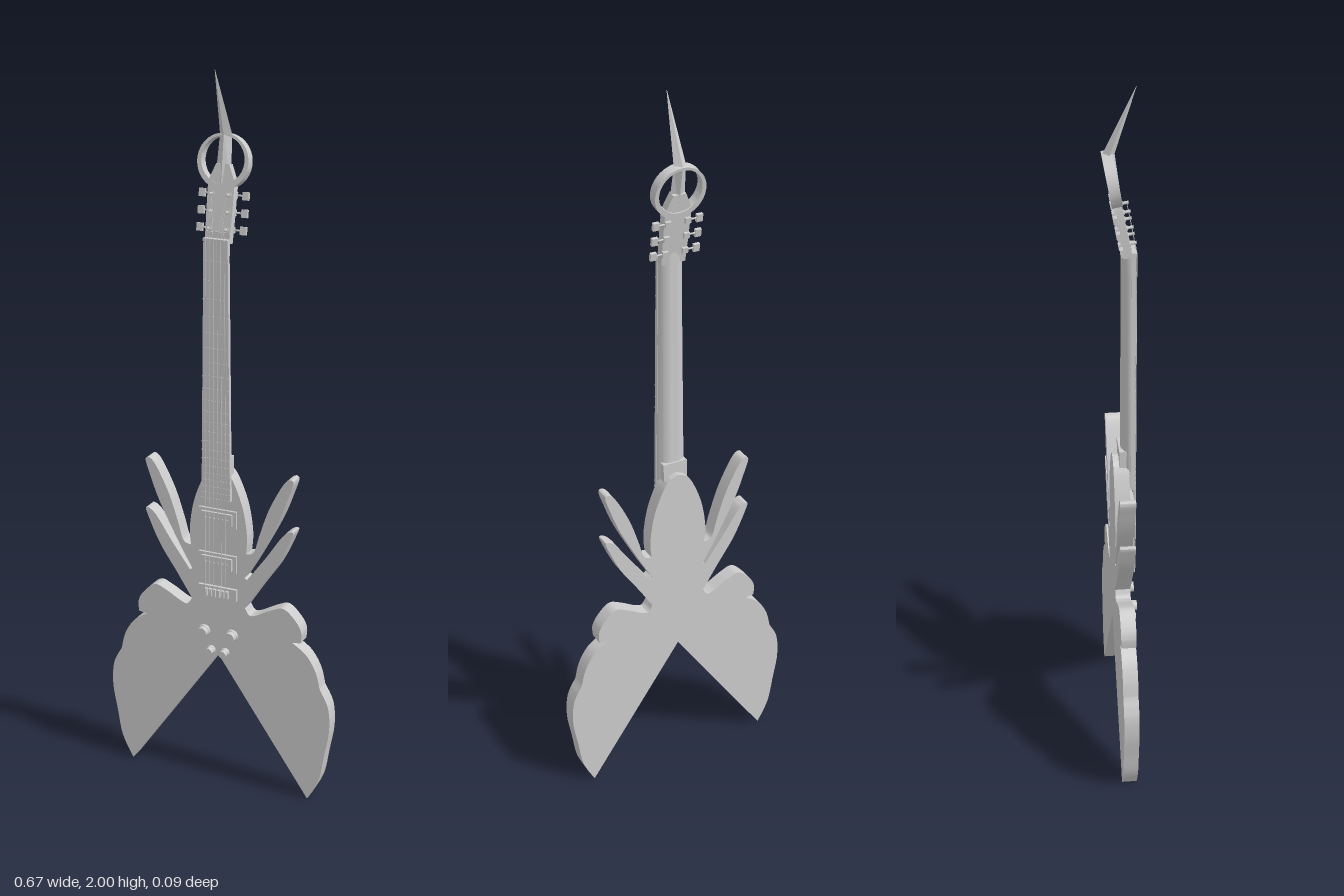
import * as THREE from 'three';
import { mergeVertices, toCreasedNormals } from 'three/addons/utils/BufferGeometryUtils.js';

const material = new THREE.MeshStandardMaterial({ color: 0xcccccc });
const V = (x, y) => new THREE.Vector2(x, y);

function add(parent, name, geometry, x = 0, y = 0, z = 0) {
  const mesh = new THREE.Mesh(geometry, material);
  mesh.name = name;
  mesh.position.set(x, y, z);
  parent.add(mesh);
  return mesh;
}

const box = (w, h, d) => new THREE.BoxGeometry(w, h, d);

// Cylinder whose axis runs front to back, first radius at the front
const peg = (r1, r2, h, n = 16) => new THREE.CylinderGeometry(r1, r2, h, n).rotateX(Math.PI / 2);

function extrude(shape, depth, curveSegments = 24) {
  const g = new THREE.ExtrudeGeometry(shape, { depth, bevelEnabled: false, curveSegments });
  return toCreasedNormals(g, 0.5);
}

// Closed loft: the profile [x, z] is scaled by [hw, hd] and centred at [y, z] per section
function loft(profile, sections, crease = 0.6) {
  const n = profile.length, pos = [], idx = [];
  for (const [y, z, hw, hd] of sections)
    for (const [px, pz] of profile) pos.push(px * hw, y, z + pz * hd);
  for (let s = 0; s < sections.length - 1; s++)
    for (let i = 0; i < n; i++) {
      const a = s * n + i, b = s * n + (i + 1) % n;
      idx.push(a, b, a + n, b, b + n, a + n);
    }
  const top = (sections.length - 1) * n;
  for (let i = 1; i < n - 1; i++) idx.push(0, i + 1, i, top, top + i, top + i + 1);
  const g = new THREE.BufferGeometry();
  g.setAttribute('position', new THREE.Float32BufferAttribute(pos, 3));
  g.setIndex(idx);
  return toCreasedNormals(mergeVertices(g), crease);
}

// Thin rod between two points
function rod(parent, name, a, b, r) {
  const d = b.clone().sub(a);
  const m = add(parent, name, new THREE.CylinderGeometry(r, r, d.length(), 6));
  m.position.copy(a).add(b).multiplyScalar(0.5);
  m.quaternion.setFromUnitVectors(new THREE.Vector3(0, 1, 0), d.normalize());
}

// Half outline of the winged body; each run is a smooth curve, corners fall between runs
const bodyRuns = [
  [[0, 0.395], [0.272, 0.003]],
  [[0.272, 0.003], [0.305, 0.07], [0.32, 0.15], [0.333, 0.23], [0.328, 0.3], [0.303, 0.35]],
  [[0.303, 0.35], [0.29, 0.4], [0.262, 0.445], [0.22, 0.475]],
  [[0.22, 0.475], [0.245, 0.478]],
  [[0.245, 0.478], [0.246, 0.51], [0.23, 0.54], [0.195, 0.57], [0.16, 0.56], [0.1, 0.53], [0.08, 0.55]],
  [[0.08, 0.55], [0.125, 0.62], [0.175, 0.695], [0.208, 0.765], [0.218, 0.797], [0.19, 0.783], [0.14, 0.71], [0.078, 0.625]],
  [[0.078, 0.64], [0.118, 0.71], [0.175, 0.82], [0.204, 0.895], [0.217, 0.94], [0.193, 0.935], [0.15, 0.855], [0.122, 0.775], [0.105, 0.72], [0.082, 0.71]],
  [[0.082, 0.71], [0.085, 0.76], [0.075, 0.83], [0.055, 0.89], [0.03, 0.935], [0, 0.95]],
];

function bodyShape() {
  const half = bodyRuns.flatMap((run) => {
    const pts = run.map(([x, y]) => V(x, y));
    return pts.length === 2 ? [pts[0]] : new THREE.SplineCurve(pts).getPoints(pts.length * 5).slice(0, -1);
  });
  const mirrored = half.slice(1).reverse().map((p) => V(-p.x, p.y));
  return new THREE.Shape([...half, V(0, 0.95), ...mirrored]);
}

const NUT = 1.57, BRIDGE = 0.585;
const neckHalf = (y) => 0.042 - 0.008 * (y - 0.86) / (NUT - 0.86);

function buildNeck(root) {
  const neck = new THREE.Group();
  neck.name = 'neck';
  root.add(neck);
  // Rounded back with a flat front
  const dProfile = [];
  for (let i = 0; i <= 14; i++) {
    const a = Math.PI * i / 14;
    dProfile.push([Math.cos(a), -Math.sin(a)]);
  }
  add(neck, 'neckBack', loft(dProfile, [
    [0.87, 0.03, 0.041, 0.03], [1.0, 0.03, 0.04, 0.029], [1.5, 0.03, 0.034, 0.027], [1.59, 0.026, 0.034, 0.025],
  ]));
  add(neck, 'neckHeel', box(0.07, 0.09, 0.032), 0, 0.935, 0.012);
  const square = [[1, 1], [1, -1], [-1, -1], [-1, 1]];
  add(neck, 'fretboard', loft(square, [
    [0.86, 0.032, 0.042, 0.006], [NUT, 0.032, 0.034, 0.006],
  ]));
  for (let n = 1; n <= 22; n++) {
    const y = NUT - (NUT - BRIDGE) * (1 - 2 ** (-n / 12));
    add(neck, 'fret', box(neckHalf(y) * 2, 0.004, 0.002), 0, y, 0.038);
  }
  add(neck, 'nut', box(0.07, 0.008, 0.014), 0, NUT, 0.034);
}

function buildHeadstock(root) {
  const head = new THREE.Group();
  head.name = 'headstock';
  head.position.set(0, NUT, 0.016);
  head.rotation.x = -0.175;
  root.add(head);

  const plate = new THREE.Shape([
    V(-0.034, -0.01), V(0.034, -0.01), V(0.036, 0.06), V(0.037, 0.145), V(0.018, 0.19), V(-0.018, 0.19), V(-0.037, 0.145), V(-0.036, 0.06),
  ]);
  add(head, 'headPlate', extrude(plate, 0.022), 0, 0, -0.011);

  // Ring, thinner towards its top
  const ring = new THREE.Shape().absarc(0, 0.196, 0.071, 0, Math.PI * 2);
  ring.holes.push(new THREE.Path().absarc(0, 0.2, 0.06, 0, Math.PI * 2, true));
  add(head, 'headRing', extrude(ring, 0.027), 0, 0, -0.0145);

  // Three tuners on each side
  for (const side of [-1, 1])
    for (let i = 0; i < 3; i++) {
      const y = 0.025 + i * 0.044, x = side * 0.024;
      add(head, 'tunerBushing', peg(0.007, 0.007, 0.004), x, y, 0.012);
      add(head, 'tunerPost', peg(0.004, 0.004, 0.02, 10), x, y, 0.019);
      add(head, 'tunerHousing', box(0.016, 0.016, 0.01), side * 0.028, y, -0.013);
      add(head, 'tunerShaft', new THREE.CylinderGeometry(0.0025, 0.0025, 0.03, 8).rotateZ(Math.PI / 2), side * 0.046, y, -0.012);
      add(head, 'tunerButton', box(0.017, 0.021, 0.009), side * 0.061, y, -0.012);
    }

  // Bent spike running through the ring and hooking forward
  const diamond = [[1, 0], [0, -1], [-1, 0], [0, 1]];
  add(root, 'headSpike', loft(diamond, [
    [1.71, -0.008, 0.022, 0.012], [1.83, -0.027, 0.017, 0.015], [2.0, 0.04, 0.0006, 0.0006],
  ], 0.2));
}

function buildHardware(root) {
  const hardware = new THREE.Group();
  hardware.name = 'hardware';
  root.add(hardware);
  // Pickups with pole pieces
  for (const y of [0.805, 0.675]) {
    add(hardware, 'pickupFrame', box(0.112, 0.05, 0.008), 0, y, 0.025);
    add(hardware, 'pickup', box(0.09, 0.034, 0.014), 0, y, 0.029);
    for (let i = 0; i < 6; i++)
      add(hardware, 'polePiece', peg(0.003, 0.003, 0.003, 8), (i - 2.5) * 0.0125, y, 0.037);
  }
  // Bridge with saddles
  add(hardware, 'bridgePlate', box(0.114, 0.034, 0.01), 0, BRIDGE, 0.026);
  for (let i = 0; i < 6; i++)
    add(hardware, 'saddle', box(0.009, 0.022, 0.012), (i - 2.5) * 0.0125, BRIDGE, 0.034);
  // Two large and two small knobs
  for (const side of [-1, 1])
    for (const [x, y, r] of [[0.042, 0.46, 0.018], [0.021, 0.405, 0.013]]) {
      add(hardware, 'knobSkirt', peg(r * 0.9, r, 0.008, 24), side * x, y, 0.025);
      add(hardware, 'knob', peg(r * 0.8, r * 0.85, 0.018, 24), side * x, y, 0.035);
    }
  // Strings over the neck and on to the tuner posts
  for (let i = 0; i < 6; i++) {
    const k = i - 2.5, step = i < 3 ? i : 5 - i;
    const nut = new THREE.Vector3(k * 0.0105, NUT, 0.041);
    rod(hardware, 'string', new THREE.Vector3(k * 0.0125, BRIDGE, 0.041), nut, 0.0008);
    rod(hardware, 'stringEnd', nut, new THREE.Vector3(Math.sign(k) * 0.021, NUT + 0.03 + step * 0.043, 0.036 - step * 0.008), 0.0008);
  }
}

export function createModel() {
  const root = new THREE.Group();
  root.name = 'electricGuitar';
  add(root, 'body', extrude(bodyShape(), 0.042), 0, 0, -0.02);
  buildNeck(root);
  buildHeadstock(root);
  buildHardware(root);
  return root;
}
